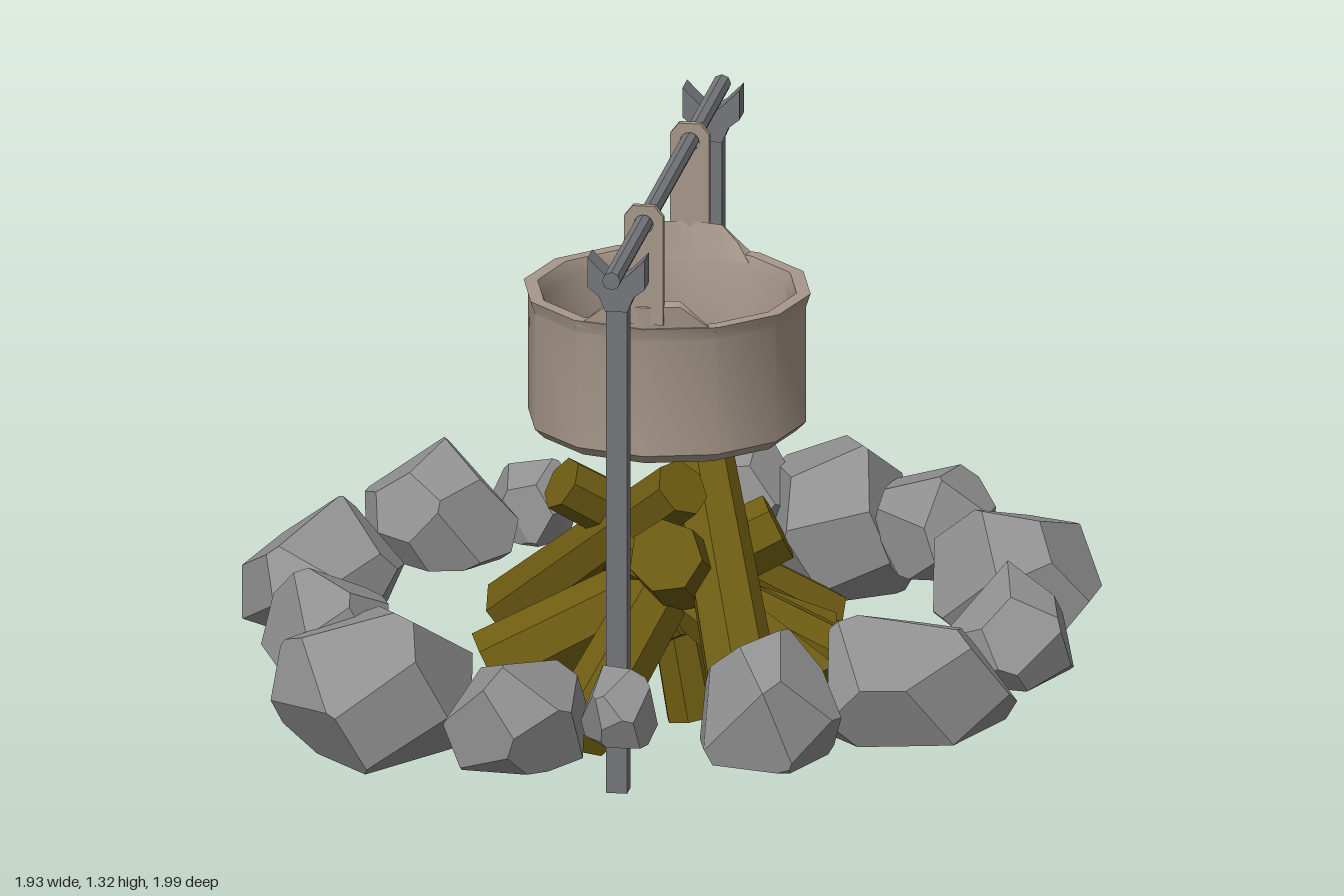
import * as THREE from 'three';
import { toCreasedNormals } from 'three/addons/utils/BufferGeometryUtils.js';
import { ConvexGeometry } from 'three/addons/geometries/ConvexGeometry.js';

const mat = (color, flatShading = true) => new THREE.MeshStandardMaterial({ color, flatShading });
const stone = mat(0x909090);
const metal = mat(0x76777b);
const wood = mat(0x6e5c12);
const clay = mat(0xa6978a, false);

function seeded(seed) {
  let s = seed * 7919 + 17;
  return () => (s = (s * 16807) % 2147483647) / 2147483647;
}

function add(parent, name, geometry, material, x = 0, y = 0, z = 0) {
  const mesh = new THREE.Mesh(geometry, material);
  mesh.name = name;
  mesh.position.set(x, y, z);
  parent.add(mesh);
  return mesh;
}

// Corners of the solid enclosed by a set of planes
function cutCorners(planes) {
  const corners = [], n = planes.length, m = new THREE.Matrix3();
  for (let i = 0; i < n; i++) for (let j = i + 1; j < n; j++) for (let k = j + 1; k < n; k++) {
    const [a, b, c] = [planes[i], planes[j], planes[k]];
    m.set(...a.normal.toArray(), ...b.normal.toArray(), ...c.normal.toArray());
    if (Math.abs(m.determinant()) < 0.02) continue;
    const p = new THREE.Vector3(a.constant, b.constant, c.constant).applyMatrix3(m.invert());
    if (planes.every((q) => q.normal.dot(p) < q.constant + 1e-6)) corners.push(p);
  }
  return corners;
}

// Boulder chiselled by jittered planes, elongated along yaw, fitted to a box
function rockGeometry([x0, x1, y0, y1, z0, z1, yaw], seed) {
  const rnd = seeded(seed), n = 15;
  // Shallow rocks get a broad flat base
  const planes = [new THREE.Plane(new THREE.Vector3(0, -1, 0), y0 > 0.165 ? 0.5 : 0.8)];
  for (let i = 0; i < n; i++) {
    const h = 1 - (2 * i + 1) / n;
    const a = i * 2.4 + seed + (rnd() - 0.5) * 0.6;
    const r = Math.sqrt(1 - h * h);
    const normal = new THREE.Vector3(Math.cos(a) * r, h, Math.sin(a) * r);
    planes.push(new THREE.Plane(normal, 0.9 + rnd() * 0.2));
  }
  const points = cutCorners(planes);
  for (const p of points) {
    p.x *= 1.25;
    p.applyAxisAngle(new THREE.Vector3(0, 1, 0), -yaw);
  }
  const box = new THREE.Box3().setFromPoints(points);
  const size = box.getSize(new THREE.Vector3());
  for (const p of points) {
    p.sub(box.min).divide(size);
    p.set(x0 + p.x * (x1 - x0), y0 + p.y * (y1 - y0), z0 + p.z * (z1 - z0));
  }
  return new ConvexGeometry(points);
}

function buildRocks() {
  const group = new THREE.Group();
  group.name = 'stoneRing';
  // x range, y range, z range, yaw
  const rocks = [
    [-0.12, 0.17, 0.15, 0.42, -0.98, -0.66, 1.2],
    [0.11, 0.46, 0.09, 0.44, -1.0, -0.56, 1.4],
    [0.36, 0.65, 0.19, 0.42, -0.81, -0.46, 0.9],
    [0.54, 0.94, 0.18, 0.43, -0.57, -0.13, 1.2],
    [0.66, 0.96, 0.19, 0.42, -0.06, 0.3, 1.7],
    [0.45, 0.88, 0.17, 0.44, 0.28, 0.71, -0.8],
    [0.2, 0.54, 0.18, 0.46, 0.6, 0.94, 0.8],
    [-0.05, 0.13, 0.22, 0.39, 0.74, 0.95, 0.7],
    [-0.35, -0.04, 0.15, 0.4, 0.66, 0.99, 1.5],
    [-0.79, -0.33, 0.09, 0.43, 0.41, 0.85, -0.4],
    [-0.85, -0.54, 0.2, 0.45, 0.27, 0.6, 0.9],
    [-0.97, -0.61, 0.19, 0.43, -0.25, 0.2, 1.5],
    [-0.78, -0.42, 0.19, 0.44, -0.7, -0.38, 0.6],
    [-0.52, -0.32, 0.2, 0.38, -0.78, -0.58, 0.6],
  ];
  rocks.forEach((r, i) => add(group, 'rock', rockGeometry(r, i + 1), stone));
  return group;
}

function buildLogs() {
  const group = new THREE.Group();
  group.name = 'firewood';
  // lower end, upper end, radius
  const logs = [
    [[0.26, 0.14, 0.4], [0.05, 0.62, -0.17], 0.085],
    [[-0.11, 0.11, 0.45], [0.06, 0.43, -0.18], 0.085],
    [[0.46, 0.14, 0.02], [-0.1, 0.42, 0.05], 0.075],
    [[-0.38, 0.12, 0.09], [0.25, 0.44, -0.08], 0.095],
    [[-0.38, 0.17, -0.22], [0.06, 0.58, 0.1], 0.08],
    [[0.32, 0.15, -0.31], [-0.23, 0.55, 0.02], 0.075],
    [[0.06, 0.16, -0.33], [0.05, 0.47, 0.27], 0.1],
    [[0.39, 0.14, 0.22], [-0.1, 0.38, -0.1], 0.085],
    [[0.35, 0.17, -0.13], [-0.05, 0.36, 0.02], 0.06],
    [[0.07, 0.015, 0.02], [-0.02, 0.5, 0.0], 0.062],
    [[-0.26, 0.1, 0.02], [0.04, 0.26, 0.05], 0.06],
  ];
  logs.forEach(([from, to, r], i) => {
    const a = new THREE.Vector3(...from), b = new THREE.Vector3(...to);
    const dir = b.clone().sub(a);
    const length = dir.length();
    const geo = new THREE.CylinderGeometry(r * 0.85, r, length, 7);
    const log = add(group, 'log', geo, wood);
    log.position.copy(a).add(b).multiplyScalar(0.5);
    log.quaternion.setFromUnitVectors(new THREE.Vector3(0, 1, 0), dir.normalize());
    log.rotateY(i * 0.7);
  });
  return group;
}

function buildStand() {
  const group = new THREE.Group();
  group.name = 'stand';
  const fork = new THREE.Shape([
    [-0.025, 1.18], [0.025, 1.18], [0.04, 1.215], [0.065, 1.235], [0.065, 1.305], [0.025, 1.265],
    [0, 1.25], [-0.025, 1.265], [-0.065, 1.305], [-0.065, 1.235], [-0.04, 1.215],
  ].map(([x, y]) => new THREE.Vector2(x, y)));
  for (const z of [0.67, -0.615]) {
    add(group, 'post', new THREE.BoxGeometry(0.048, 1.16, 0.05), metal, 0.01, 0.62, z);
    const geo = new THREE.ExtrudeGeometry(fork, { depth: 0.062, bevelEnabled: false });
    add(group, 'postFork', geo, metal, 0.01, 0, z - 0.031);
  }
  const rod = new THREE.CylinderGeometry(0.021, 0.021, 1.5, 8).rotateX(Math.PI / 2);
  add(group, 'crossbar', rod, metal, 0.012, 1.277, 0.03);
  return group;
}

function buildPot() {
  const group = new THREE.Group();
  group.name = 'pot';
  group.position.set(0.013, 0, 0.028);
  const v = ([r, y]) => new THREE.Vector2(r, y);

  // Bowl with thick wall, slight rim flare and inner floor
  const profile = [
    [0, 0.705], [0.296, 0.705], [0.318, 0.727], [0.318, 1.0], [0.328, 1.03],
    [0.296, 1.03], [0.285, 1.0], [0.275, 0.85], [0, 0.85],
  ].map(v);
  add(group, 'bowl', toCreasedNormals(new THREE.LatheGeometry(profile, 12), 0.6), clay);

  // Raised lugs following the two rim facets at each end
  const lugProfile = [[0.322, 1.015], [0.325, 1.08], [0.308, 1.09], [0.288, 1.015]].map(v);
  const half = Math.PI / 6;
  for (const side of [0, Math.PI]) {
    const geo = new THREE.LatheGeometry(lugProfile, 8, side - half, 2 * half);
    const p = geo.attributes.position;
    for (let i = 0; i < p.count; i++) {
      const phi = Math.atan2(Math.abs(p.getX(i)), Math.abs(p.getZ(i)));
      const flat = Math.cos(half / 2) / Math.cos(phi - half / 2);
      const rise = Math.min(1, (1 - phi / half) * 2);
      p.setXYZ(i, p.getX(i) * flat, 1.015 + (p.getY(i) - 1.015) * rise, p.getZ(i) * flat);
    }
    add(group, 'lug', toCreasedNormals(geo, 0.6), clay);
  }

  // Flat hangers with a hole for the crossbar
  const strap = new THREE.Shape([
    [-0.045, 1.04], [0.045, 1.04], [0.045, 1.295], [0.025, 1.32], [-0.025, 1.32], [-0.045, 1.295],
  ].map(v));
  strap.holes.push(new THREE.Path().absarc(0, 1.277, 0.022, 0, Math.PI * 2, true));
  for (const z of [0.312, -0.312]) {
    const geo = new THREE.ExtrudeGeometry(strap, { depth: 0.016, bevelEnabled: false, curveSegments: 8 });
    add(group, 'hanger', geo, clay, 0, 0, z - 0.008);
  }
  return group;
}

export function createModel() {
  const model = new THREE.Group();
  model.name = 'campfire';
  model.add(buildRocks(), buildLogs(), buildStand(), buildPot());
  return model;
}
